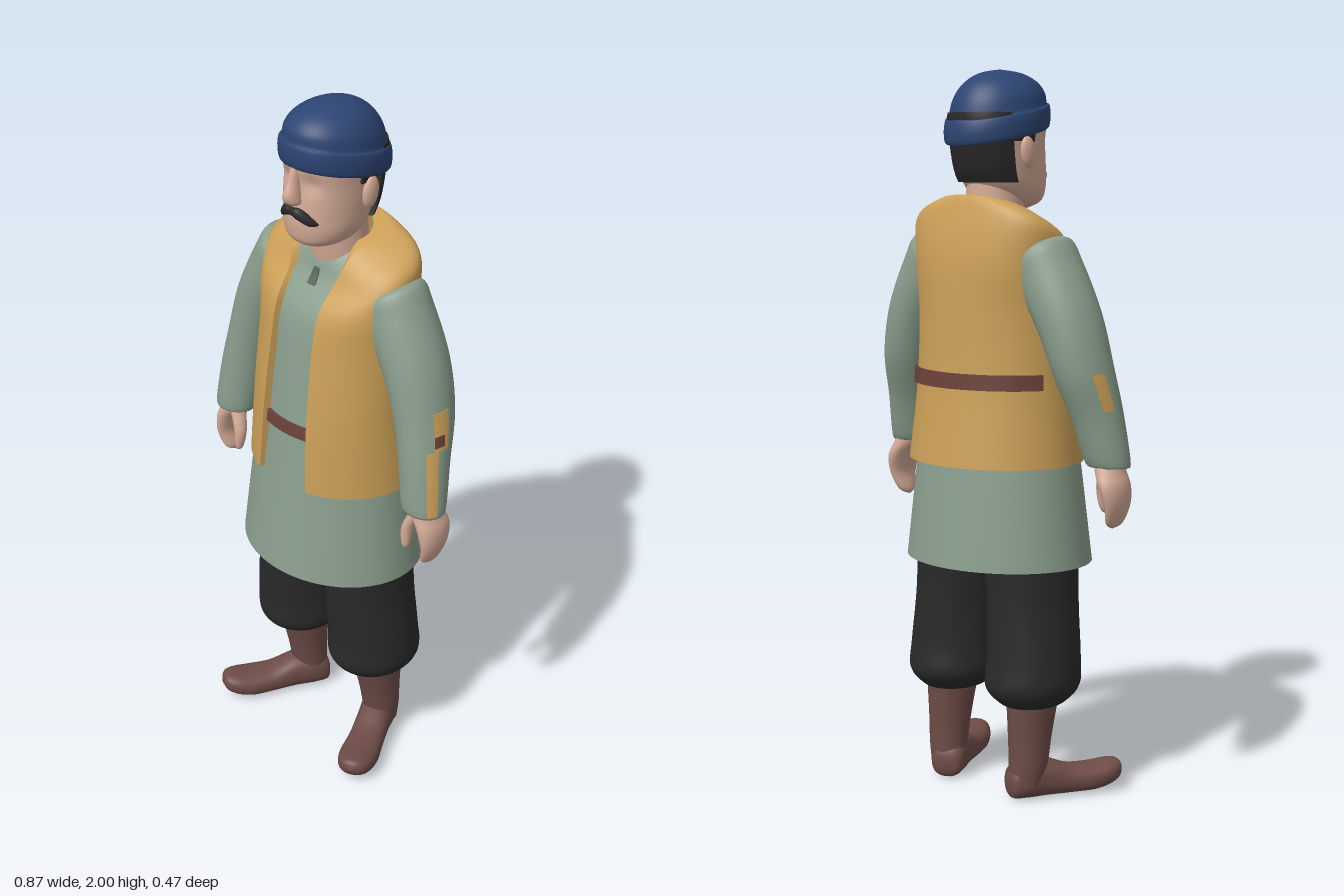
import * as THREE from 'three';
import { toCreasedNormals } from 'three/addons/utils/BufferGeometryUtils.js';

const mat = (name, color) => Object.assign(new THREE.MeshStandardMaterial({ color }), { name });

// A ring is [y, centreX, centreZ, radiusX, radiusZ, tiltX, tiltZ, squareness].
const mirror = rings => rings.map(([y, cx, cz, rx, rz, kx = 0, ...rest]) => [y, -cx, cz, rx, rz, -kx, ...rest]);

function ringAt(rings, t) {
  const last = rings.length - 1;
  const i = Math.min(Math.floor(t), last - 1), u = t - i;
  const get = (j, k) => rings[Math.max(0, Math.min(last, j))][k] ?? (k === 7 ? 2 : 0);
  return Array.from({ length: 8 }, (_, k) => {
    const a = get(i - 1, k), b = get(i, k), c = get(i + 1, k), d = get(i + 2, k);
    return b + 0.5 * u * (c - a + u * (2 * a - 5 * b + 4 * c - d + u * (3 * (b - c) + d - a)));
  });
}

// Point on the skin at ring number t and angle a, measured from the front towards +x
function skinPoint(rings, t, a, off = 0) {
  const [y, cx, cz, rx, rz, kx, kz, n] = ringAt(rings, t);
  const bend = v => Math.sign(v) * Math.abs(v) ** (2 / n);
  const x = (Math.max(0, rx) + off) * bend(Math.sin(a));
  const z = (Math.max(0, rz) + off) * bend(Math.cos(a));
  return [cx + x, y + kx * x + kz * z, cz + z];
}

function grid(points, rows, cols, wrap) {
  const index = [];
  for (let i = 0; i < rows - 1; i++) {
    for (let j = 0; j < (wrap ? cols : cols - 1); j++) {
      const k = (j + 1) % cols, a = i * cols + j, b = i * cols + k;
      index.push(a, b, a + cols, b, b + cols, a + cols);
    }
  }
  const g = new THREE.BufferGeometry();
  g.setAttribute('position', new THREE.Float32BufferAttribute(points.flat(), 3));
  g.setIndex(index);
  g.computeVertexNormals();
  return g;
}

// Closed smooth body through all rings
function loft(rings, cols = 36, perRing = 5) {
  const rows = (rings.length - 1) * perRing + 1, points = [];
  for (let i = 0; i < rows; i++)
    for (let j = 0; j < cols; j++) points.push(skinPoint(rings, i / perRing, j / cols * Math.PI * 2));
  return grid(points, rows, cols, true);
}

// Piece of cloth lying on a skin, its border folded inwards
function patch(rings, t0, t1, a0, a1, off, inner = 0, rows = 10, cols = 24) {
  const points = [], edge = (f, t) => (typeof f === 'function' ? f(t) : f);
  const clamp = (v, n) => Math.max(0, Math.min(1, (v - 1) / (n - 1)));
  for (let i = 0; i < rows + 2; i++) {
    const t = t0 + (t1 - t0) * clamp(i, rows);
    for (let j = 0; j < cols + 2; j++) {
      const a = edge(a0, t) + (edge(a1, t) - edge(a0, t)) * clamp(j, cols);
      const border = i === 0 || j === 0 || i === rows + 1 || j === cols + 1;
      points.push(skinPoint(rings, t, a, border ? inner : off));
    }
  }
  return toCreasedNormals(grid(points, rows + 2, cols + 2, false), 0.7);
}

export function createModel() {
  const model = new THREE.Group();
  model.name = 'man';
  const green = mat('sage cloth', 0x8a9e8d), gold = mat('ochre cloth', 0xcb9f57), navy = mat('navy wool', 0x2c4573);
  const black = mat('black cloth', 0x2a2a2a), brown = mat('boot leather', 0x6e4c47), skin = mat('skin', 0xd3aa96);
  const hairMat = mat('dark hair', 0x2a2727), belt = mat('belt leather', 0x6a4139), slit = mat('dark sage', 0x56655a);
  gold.side = THREE.DoubleSide;
  const add = (name, geometry, material, parent = model) => {
    const m = new THREE.Mesh(geometry, material);
    m.name = name;
    parent.add(m);
    return m;
  };

  // Tunic with its closed underside
  const torso = [
    [0.66, 0, 0.002, 0.28, 0.232], [0.93, 0, 0, 0.25, 0.2], [1.1, 0, 0, 0.225, 0.18],
    [1.3, 0, -0.01, 0.218, 0.165], [1.45, 0, -0.018, 0.215, 0.147, 0, -0.1, 2.3],
    [1.56, 0, -0.035, 0.21, 0.105, 0, -0.35, 2.3], [1.605, 0, -0.035, 0.14, 0.092, 0, -0.48],
    [1.625, 0, -0.03, 0.085, 0.076, 0, -0.5],
  ];
  add('tunic', loft(torso, 56), green);
  const under = add('tunicUnderside', new THREE.CircleGeometry(1, 48), green);
  under.rotation.x = Math.PI / 2;
  under.scale.set(0.277, 0.229, 1);
  under.position.y = 0.68;
  add('neckSlit', patch(torso, 4.75, 5.5, -0.04, 0.04, 0.004), slit);
  add('frontBelt', patch(torso, 1.95, 2.13, -0.6, 0.6, 0.009), belt);

  // Open vest: the front edges follow a chosen distance from the middle
  const vest = [
    [0.94, 0, -0.01, 0.258, 0.222], [1.15, 0, -0.004, 0.242, 0.2], [1.35, 0, -0.012, 0.237, 0.179],
    [1.48, 0, -0.022, 0.236, 0.158, 0, -0.12, 2.4], [1.575, 0, -0.035, 0.235, 0.118, 0, -0.38, 2.6],
    [1.62, 0, -0.035, 0.16, 0.102, 0, -0.42, 2.3], [1.638, 0, -0.035, 0.108, 0.088, 0, -0.3],
  ];
  const opening = [0.09, 0.082, 0.076, 0.075, 0.082, 0.095, 0.1];
  const frontEdge = t => {
    const r = ringAt(vest, t), i = Math.min(5, Math.floor(t));
    const x = opening[i] + (opening[i + 1] - opening[i]) * (t - i);
    return Math.asin(Math.min(0.98, (x / r[3]) ** (r[7] / 2)));
  };
  add('vest', patch(vest, 0, 6, frontEdge, t => Math.PI * 2 - frontEdge(t), 0, -0.02, 36, 72), gold);
  add('backBelt', patch(vest, 1, 1.2, Math.PI - 1.22, Math.PI + 1.22, 0.009), belt);

  // Limbs, given for the left side
  const arm = [
    [0.968, 0.372, 0.03, 0.045, 0.04], [0.957, 0.372, 0.03, 0.064, 0.055], [1.08, 0.352, 0.01, 0.068, 0.07, 0.2],
    [1.2, 0.325, -0.015, 0.073, 0.088, 0.25], [1.33, 0.283, -0.025, 0.078, 0.095, 0.4],
    [1.45, 0.217, -0.028, 0.08, 0.095, 0.6], [1.51, 0.18, -0.03, 0.07, 0.085, 0.7], [1.53, 0.15, -0.03, 0.02, 0.02],
  ];
  const palm = [
    [0.783, 0.388, 0.03, 0, 0], [0.8, 0.397, 0.028, 0.016, 0.03], [0.85, 0.41, 0.025, 0.021, 0.048],
    [0.9, 0.403, 0.022, 0.03, 0.056], [0.94, 0.385, 0.025, 0.036, 0.05], [0.99, 0.372, 0.03, 0.035, 0.038],
  ];
  const thumb = [
    [0.815, 0.34, 0.058, 0, 0], [0.83, 0.337, 0.057, 0.011, 0.013], [0.885, 0.338, 0.05, 0.017, 0.02],
    [0.945, 0.365, 0.035, 0.02, 0.025],
  ];
  const trouser = [
    [0.265, 0.15, -0.025, 0.06, 0.07], [0.275, 0.15, -0.022, 0.088, 0.1], [0.32, 0.148, -0.02, 0.126, 0.138],
    [0.4, 0.148, -0.015, 0.126, 0.136], [0.55, 0.138, -0.008, 0.118, 0.138], [0.7, 0.13, -0.005, 0.117, 0.145],
  ];
  const shaft = [
    [0.04, 0.15, -0.05, 0.05, 0.05], [0.1, 0.155, -0.045, 0.055, 0.055], [0.18, 0.155, -0.038, 0.058, 0.065],
    [0.29, 0.155, -0.027, 0.066, 0.082],
  ];
  // Foot rings run from heel to the upturned toe, then are laid down
  const foot = [
    [-0.052, 0, -0.045, 0, 0], [-0.042, 0, -0.045, 0.04, 0.04], [0, 0, -0.055, 0.052, 0.055], [0.06, 0, -0.054, 0.05, 0.053],
    [0.13, 0, -0.042, 0.052, 0.04], [0.2, 0, -0.041, 0.057, 0.037], [0.25, 0, -0.049, 0.05, 0.034],
    [0.28, 0, -0.056, 0.032, 0.024], [0.292, 0, -0.058, 0, 0],
  ].map(r => [...r, 0, 0, 2.4]);
  for (const s of [1, -1]) {
    const side = s > 0 ? 'left' : 'right', flip = rings => (s > 0 ? rings : mirror(rings));
    add(side + 'Sleeve', loft(flip(arm)), green);
    add(side + 'Hand', loft(flip(palm), 24), skin);
    add(side + 'Thumb', loft(flip(thumb), 16), skin);
    add(side + 'TrouserLeg', loft(flip(trouser)), black);
    add(side + 'BootShaft', loft(flip(shaft)), brown);
    const f = add(side + 'BootFoot', loft(foot, 28).rotateX(Math.PI / 2), brown);
    f.position.set(s * 0.145, 0, -0.05);
    f.rotation.y = s * 0.48;
    // Ear
    const ear = add(side + 'Ear', new THREE.SphereGeometry(1, 16, 12), skin);
    ear.scale.set(0.014, 0.044, 0.026);
    ear.position.set(s * 0.12, 1.778, -0.012);
    ear.rotation.x = -0.15;
  }

  // Sleeve mends
  add('leftUpperMend', patch(arm, 2.4, 3.2, 1.15, 1.7, 0.003), gold);
  add('leftLowerMend', patch(arm, 1.05, 2.4, 0.85, 1.3, 0.003), gold);
  add('leftMendStrap', patch(arm, 2.5, 2.74, 1.15, 1.5, 0.006), belt);
  add('rightMend', patch(mirror(arm), 2.1, 2.9, -2.15, -1.7, 0.003), gold);

  // Head with shallow eye sockets
  add('neck', loft([[1.55, 0, -0.025, 0.085, 0.078], [1.64, 0, -0.015, 0.08, 0.08], [1.72, 0, -0.01, 0.08, 0.08]]), skin);
  const head = [
    [1.625, 0, 0.055, 0.03, 0.04], [1.645, 0, 0.045, 0.078, 0.085], [1.68, 0, 0.03, 0.1, 0.11],
    [1.73, 0, 0.015, 0.107, 0.125], [1.8, 0, 0.005, 0.111, 0.13], [1.87, 0, 0, 0.113, 0.137], [1.93, 0, 0, 0.09, 0.11],
  ].map(r => [...r, 0, 0, 2.2]);
  const headGeo = loft(head, 64, 8), p = headGeo.attributes.position;
  for (let i = 0; i < p.count; i++) {
    const dx = Math.abs(p.getX(i)) - 0.045, dy = p.getY(i) - 1.815;
    if (p.getZ(i) > 0) p.setZ(i, p.getZ(i) - 0.01 * Math.exp(-(dx * dx + dy * dy) / 0.0006));
  }
  headGeo.computeVertexNormals();
  add('head', headGeo, skin);
  add('nose', loft([
    [1.752, 0, 0.135, 0.008, 0.01], [1.762, 0, 0.143, 0.022, 0.024], [1.785, 0, 0.146, 0.02, 0.029],
    [1.82, 0, 0.138, 0.014, 0.022], [1.87, 0, 0.128, 0.012, 0.014],
  ], 20), skin);
  const halfTash = [
    [-0.068, -1.71, 0.113, 0.003, 0.003], [-0.05, -1.717, 0.13, 0.013, 0.011], [-0.025, -1.734, 0.146, 0.016, 0.012],
  ];
  const tash = [...halfTash, [0, -1.738, 0.15, 0.011, 0.009], ...halfTash.map(([x, ...r]) => [-x, ...r]).reverse()];
  add('moustache', loft(tash, 16).rotateZ(-Math.PI / 2), hairMat);

  // Hair round the back and over the ears
  add('backHair', patch(head, 2.4, 5.2, 2, Math.PI * 2 - 2, 0.012, -0.005), hairMat);
  for (const s of [1, -1])
    add('sideHair', patch(head, 4.1, 5.2, s > 0 ? 1.5 : -2.02, s > 0 ? 2.02 : -1.5, 0.008, -0.005), hairMat);

  // Knitted cap, lower at the back, with a rolled brim
  add('cap', loft([
    [1.835, 0, -0.005, 0.1, 0.12, 0, 0.2], [1.824, 0, -0.005, 0.128, 0.15, 0, 0.2], [1.855, 0, -0.005, 0.134, 0.157, 0, 0.2],
    [1.885, 0, -0.004, 0.131, 0.153, 0, 0.19], [1.892, 0, -0.003, 0.123, 0.145, 0, 0.18], [1.93, 0, 0, 0.114, 0.136, 0, 0.12],
    [1.965, 0, 0.003, 0.09, 0.11, 0, 0.06], [1.99, 0, 0.005, 0.05, 0.064, 0, 0.02], [2, 0, 0.005, 0, 0],
  ], 48), navy);
  return model;
}
